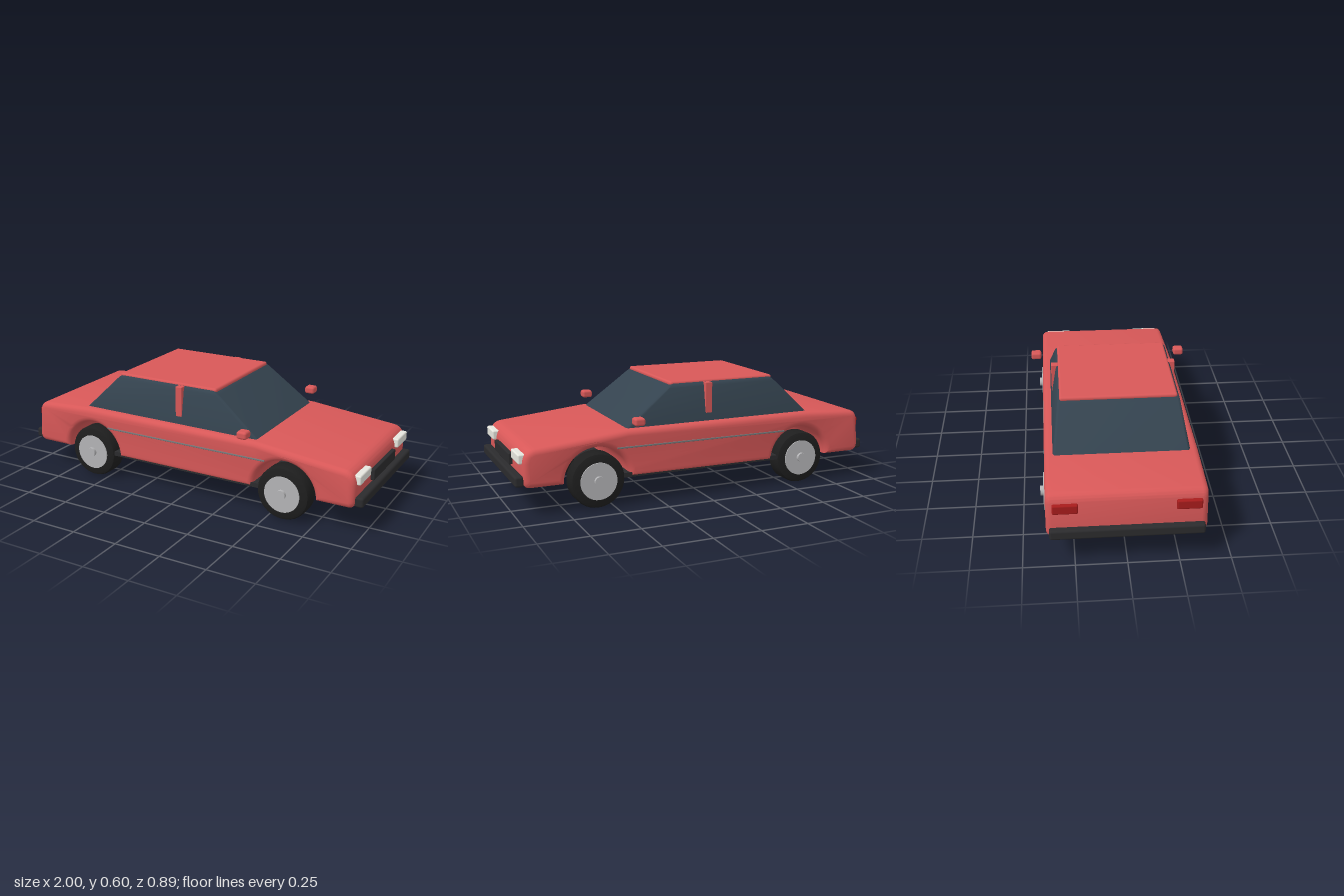
import * as THREE from 'three';
import { toCreasedNormals } from 'three/addons/utils/BufferGeometryUtils.js';
import { RoundedBoxGeometry } from 'three/addons/geometries/RoundedBoxGeometry.js';

const mat = (color) => new THREE.MeshStandardMaterial({ color });
const paint = mat(0xd85858), glass = mat(0x34434f), rubber = mat(0x1e1e1e), trim = mat(0x2b2b2d);
const metal = mat(0xb4b4b6), lamp = mat(0xe6e6de), tail = mat(0xa81c1c), line = mat(0x77787a);

export function createModel() {
  const car = new THREE.Group();
  car.name = 'car';

  const add = (name, geometry, material, x = 0, y = 0, z = 0) => {
    const mesh = new THREE.Mesh(geometry, material);
    mesh.name = name;
    mesh.position.set(x, y, z);
    car.add(mesh);
    return mesh;
  };
  // rounded box given by its limits on each axis
  const block = (name, material, [x0, x1], [y0, y1], [z0, z1], r = 0.008) =>
    add(name, new RoundedBoxGeometry(x1 - x0, y1 - y0, z1 - z0, 2, r), material,
      (x0 + x1) / 2, (y0 + y1) / 2, (z0 + z1) / 2);

  const axleX = 0.583, archR = 0.172, floorY = 0.14, bevel = 0.03, halfWidth = 0.383;

  // body: side profile with wheel arches, extruded across the car
  const side = new THREE.Shape();
  side.moveTo(-0.93, floorY);
  for (const x of [-axleX, axleX]) {
    side.lineTo(x - archR, floorY);
    side.absarc(x, floorY, archR, Math.PI, 0, true);
  }
  side.lineTo(0.925, floorY);
  side.quadraticCurveTo(0.957, floorY, 0.959, 0.18);
  side.lineTo(0.96, 0.265);
  side.quadraticCurveTo(0.955, 0.33, 0.895, 0.336);
  side.lineTo(0.42, 0.386);
  side.lineTo(-0.62, 0.391);
  side.lineTo(-0.91, 0.376);
  side.quadraticCurveTo(-0.95, 0.373, -0.958, 0.33);
  side.lineTo(-0.97, 0.19);
  side.quadraticCurveTo(-0.97, floorY, -0.93, floorY);
  const body = new THREE.ExtrudeGeometry(side, {
    depth: 2 * (halfWidth - bevel), curveSegments: 16,
    bevelSize: bevel, bevelThickness: bevel, bevelOffset: -bevel, bevelSegments: 4,
  });
  body.translate(0, 0, bevel - halfWidth);
  add('body', toCreasedNormals(body, 0.6), paint);

  // dark underbody, showing as a sill along each side
  add('underbody', new THREE.BoxGeometry(1.14, 0.024, 0.752), trim, 0, 0.154, 0);

  // greenhouse: rounded box tapered towards the roof
  const y0 = 0.37, y1 = 0.59;
  const cabin = new RoundedBoxGeometry(1, y1 - y0, 1, 3, 0.02);
  const p = cabin.attributes.position;
  for (let i = 0; i < p.count; i++) {
    const t = p.getY(i) / (y1 - y0) + 0.5;
    const back = THREE.MathUtils.lerp(-0.66, -0.435, t);
    const front = THREE.MathUtils.lerp(0.435, 0.15, t);
    p.setX(i, THREE.MathUtils.lerp(back, front, p.getX(i) + 0.5));
    p.setZ(i, p.getZ(i) * 2 * THREE.MathUtils.lerp(0.343, 0.305, t));
  }
  add('windows', toCreasedNormals(cabin, 0.6), glass, 0, (y0 + y1) / 2, 0);
  block('roof', paint, [-0.442, 0.157], [0.574, 0.6], [-0.297, 0.297], 0.012);

  // tyre cross-section turned around the axle
  const tyre = new THREE.LatheGeometry([
    [0, -0.053], [0.122, -0.053], [0.136, -0.047], [0.142, -0.034],
    [0.142, 0.034], [0.136, 0.047], [0.122, 0.053], [0, 0.053],
  ].map(([r, h]) => new THREE.Vector2(r, h)), 40);
  const tyreGeo = toCreasedNormals(tyre, 0.6).rotateX(Math.PI / 2);
  const disc = (r, h) => new THREE.CylinderGeometry(r, r, h, 32).rotateX(Math.PI / 2);

  for (const s of [1, -1]) {
    const label = s > 0 ? 'Near' : 'Far';
    const zr = (a, b) => (s > 0 ? [a, b] : [-b, -a]);

    for (const x of [axleX, -axleX]) {
      const end = x > 0 ? 'front' : 'rear';
      add(`${end}Tyre${label}`, tyreGeo, rubber, x, 0.142, s * 0.334);
      add(`${end}WheelDisc${label}`, disc(0.096, 0.02), metal, x, 0.142, s * 0.383);
      add(`${end}HubCap${label}`, disc(0.025, 0.03), metal, x, 0.145, s * 0.394);
    }

    block(`doorPillar${label}`, paint, [-0.068, -0.03], [0.42, 0.589], zr(0.295, 0.333), 0.003);
    block(`sideMirror${label}`, paint, [0.352, 0.408], [0.415, 0.455], zr(0.389, 0.447), 0.012);
    block(`sideTrim${label}`, line, [-0.48, 0.48], [0.295, 0.304], zr(0.376, 0.386), 0.002);
    block(`headlight${label}`, lamp, [0.935, 0.978], [0.261, 0.31], zr(0.205, 0.355));
    block(`tailLight${label}`, tail, [-0.976, -0.94], [0.28, 0.33], zr(0.23, 0.352));
  }

  // front and rear fittings
  block('grille', trim, [0.93, 0.98], [0.215, 0.273], [-0.16, 0.16], 0.005);
  block('frontBumper', trim, [0.955, 1], [0.151, 0.204], [-0.368, 0.368], 0.012);
  block('rearBumper', trim, [-1, -0.955], [0.151, 0.204], [-0.368, 0.368], 0.012);

  return car;
}
